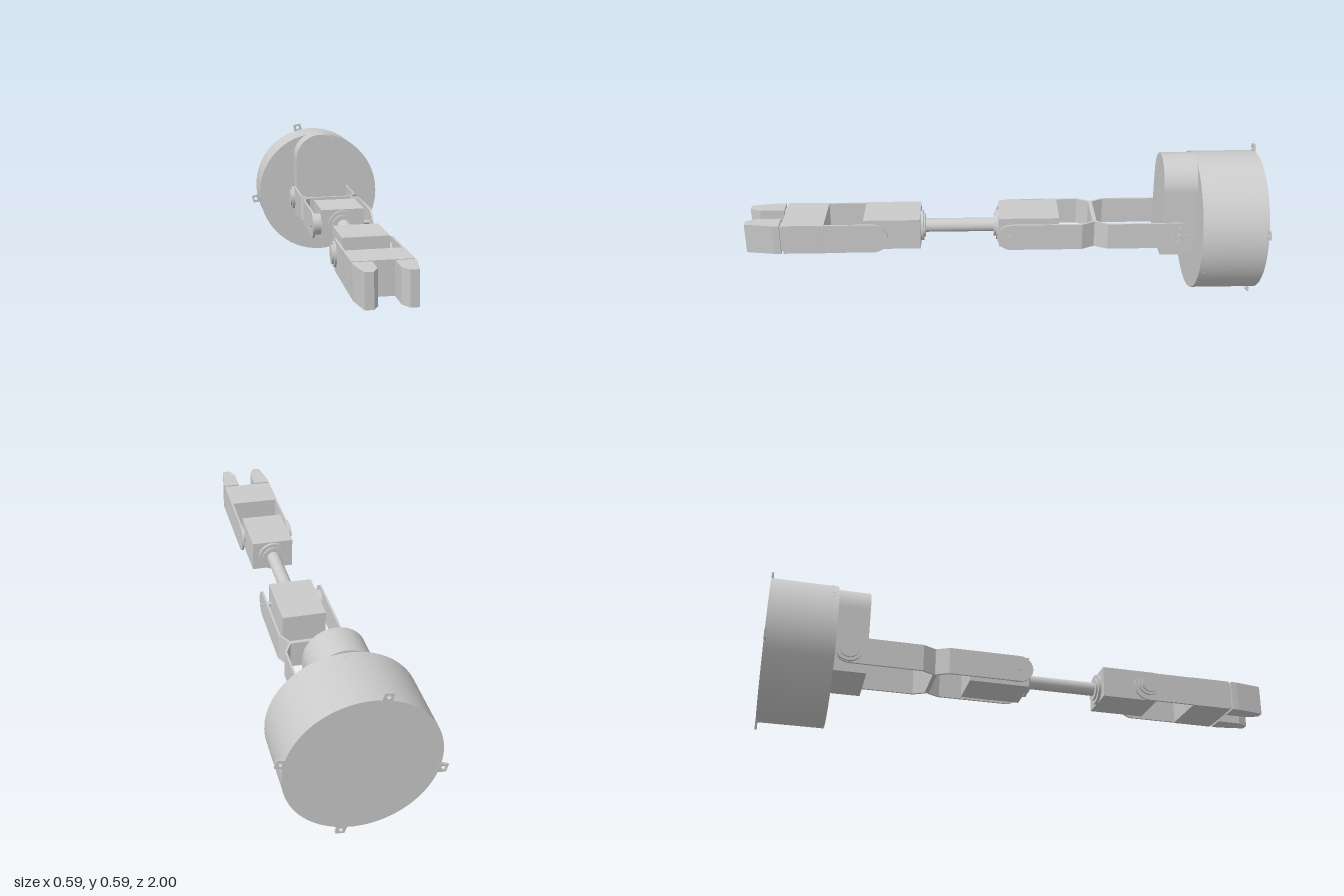
import * as THREE from 'three';

const CY = 0.286; // height of the arm axis
const grey = new THREE.MeshStandardMaterial({ color: 0xcccccc });

function add(parent, name, geometry, x = 0, y = 0, z = 0) {
  const m = new THREE.Mesh(geometry, grey);
  m.name = name;
  m.position.set(x, y, z);
  parent.add(m);
  return m;
}
const box = (w, h, d) => new THREE.BoxGeometry(w, h, d);
const discX = (r, l, n = 32) => new THREE.CylinderGeometry(r, r, l, n).rotateZ(Math.PI / 2);
const discZ = (r, l, n = 40) => new THREE.CylinderGeometry(r, r, l, n).rotateX(Math.PI / 2);

// Thin upright side plate from the square end zFlat to the rounded end zRound
function sidePlate(zFlat, zRound, h, t) {
  const r = h / 2, dir = Math.sign(zRound - zFlat), zc = zRound - dir * r;
  const s = new THREE.Shape();
  s.moveTo(zFlat, -r);
  s.lineTo(zc, -r);
  s.absarc(zc, 0, r, -Math.PI / 2, Math.PI / 2, dir < 0);
  s.lineTo(zFlat, r);
  s.closePath();
  return new THREE.ExtrudeGeometry(s, { depth: t, bevelEnabled: false, curveSegments: 16 })
    .rotateY(-Math.PI / 2).translate(t / 2, 0, 0);
}

// Outline in x and z, extruded to height h and centred in y
function prism(points, h) {
  const s = new THREE.Shape(points.map(([x, z]) => new THREE.Vector2(x, z)));
  return new THREE.ExtrudeGeometry(s, { depth: h, bevelEnabled: false })
    .rotateX(Math.PI / 2).translate(0, h / 2, 0);
}

function makeBase() {
  const g = new THREE.Group();
  g.name = 'base';
  g.position.set(-0.001, 0.299, 0);
  add(g, 'drum', discZ(0.272, 0.25, 96), 0, 0, -0.874);
  // Mounting tabs with a screw hole
  const tab = new THREE.Shape();
  tab.moveTo(0.262, -0.02);
  tab.lineTo(0.3, -0.016);
  tab.lineTo(0.3, 0.016);
  tab.lineTo(0.262, 0.02);
  tab.closePath();
  const hole = new THREE.Path();
  hole.absarc(0.285, 0, 0.008, 0, Math.PI * 2, true);
  tab.holes.push(hole);
  const tabGeo = new THREE.ExtrudeGeometry(tab, { depth: 0.008, bevelEnabled: false });
  for (let i = 0; i < 4; i++) {
    add(g, 'mountingTab', tabGeo, 0, 0, -1).rotation.z = THREE.MathUtils.degToRad(14 + 90 * i);
  }
  // Row of small slots around the front rim
  for (let i = 0; i < 48; i++) {
    const a = (i / 48) * Math.PI * 2;
    add(g, 'rimSlot', box(0.002, 0.01, 0.004), Math.cos(a) * 0.2715, Math.sin(a) * 0.2715, -0.768)
      .rotation.z = a;
  }
  return g;
}

// Arched housing on the front of the drum
function makeHousing() {
  const s = new THREE.Shape();
  s.moveTo(-0.112, 0.199);
  s.lineTo(0.112, 0.199);
  s.lineTo(0.112, 0.467);
  s.absarc(0, 0.467, 0.112, 0, Math.PI, false);
  s.closePath();
  return new THREE.ExtrudeGeometry(s, { depth: 0.13, bevelEnabled: false, curveSegments: 40 });
}

// Fork: two plates bent inwards to a cross plate
function makeFork(zBack, name) {
  const g = new THREE.Group();
  g.name = name;
  const dir = Math.sign(zBack + 0.36), t = 0.008, h = 0.106;
  const zBar = -0.36 + dir * 0.004, zBend = -0.36 + dir * 0.05;
  add(g, 'crossPlate', box(0.186, h, t), 0, 0, zBar);
  for (const s of [-1, 1]) {
    add(g, 'forkArm', sidePlate(zBend, zBack, h, t), s * 0.117, 0, 0);
    add(g, 'forkBend', prism([
      [s * 0.086, zBar], [s * 0.095, zBar - dir * 0.003],
      [s * 0.121, zBend], [s * 0.113, zBend + dir * 0.003],
    ], h));
  }
  return g;
}

// Pivot: bolts on the left side, stepped horn on the right
function makePivot(z, x, r, bolts) {
  const g = new THREE.Group();
  g.name = 'pivot';
  g.position.z = z;
  add(g, 'horn', discX(r, 0.014), -x - 0.005, 0, 0);
  add(g, 'hornCap', discX(r * 0.75, 0.01), -x - 0.014, 0, 0);
  add(g, 'pivotBolt', discX(0.007, 0.008, 16), x + 0.003, 0, 0);
  for (let i = 0; i < bolts; i++) {
    const a = (i / bolts) * Math.PI * 2;
    add(g, 'bolt', discX(0.006, 0.008, 12), x + 0.003, Math.cos(a) * 0.03, Math.sin(a) * 0.03);
  }
  return g;
}

export function createModel() {
  const model = new THREE.Group();
  model.name = 'robotArm';
  model.add(makeBase());

  // The whole arm is rolled slightly on the base
  const roll = new THREE.Group();
  roll.name = 'arm';
  roll.position.y = CY;
  roll.rotation.z = 0.02;
  model.add(roll);

  add(roll, 'housing', makeHousing(), 0, -CY, -0.75);
  roll.add(makeFork(-0.742, 'shoulderFork'), makeFork(0.02, 'elbowFork'));
  roll.add(makePivot(-0.69, 0.12, 0.05, 4));

  // Elbow motor
  add(roll, 'elbowMotor', box(0.17, 0.122, 0.235), 0, 0.004, -0.105);
  add(roll, 'elbowHorn', discX(0.042, 0.028), -0.098, 0, -0.04);
  for (const s of [-1, 1]) add(roll, 'elbowBolt', discX(0.008, 0.04, 16), s * 0.104, 0, -0.03);

  // Forearm rod with end flanges
  add(roll, 'elbowFlange', discZ(0.06, 0.012), 0, 0, 0.017);
  add(roll, 'elbowCollar', discZ(0.045, 0.012), 0, 0, 0.026);
  add(roll, 'forearmRod', discZ(0.027, 0.3), 0, 0, 0.17);
  add(roll, 'wristCollar', discZ(0.045, 0.01), 0, 0, 0.307);
  add(roll, 'wristFlange', discZ(0.06, 0.012), 0, 0, 0.315);

  // Wrist motor and gripper fork
  add(roll, 'wristMotor', box(0.17, 0.124, 0.22), 0, 0.002, 0.43);
  roll.add(makePivot(0.505, 0.1, 0.045, 0));
  for (const s of [-1, 1]) {
    add(roll, 'wristArm', sidePlate(0.7, 0.445, 0.118, 0.008), s * 0.1, -0.006, 0);
    add(roll, 'wristSpacer', discX(0.03, 0.02), s * 0.09, 0, 0.505);
  }

  // Gripper body with two tapered fingers
  add(roll, 'gripperBody', box(0.208, 0.12, 0.163), 0, -0.006, 0.7735);
  for (const s of [-1, 1]) {
    add(roll, 'fingerSlot', box(0.003, 0.07, 0.005), s * 0.104, 0.018, 0.71);
    add(roll, 'fingerMount', box(0.05, 0.1, 0.02), s * 0.07, -0.006, 0.858);
    add(roll, 'finger', prism([
      [s * 0.037, 0.864], [s * 0.104, 0.864], [s * 0.104, 0.89],
      [s * 0.086, 1], [s * 0.056, 1], [s * 0.037, 0.96],
    ], 0.12), 0, -0.006, 0);
  }
  return model;
}
